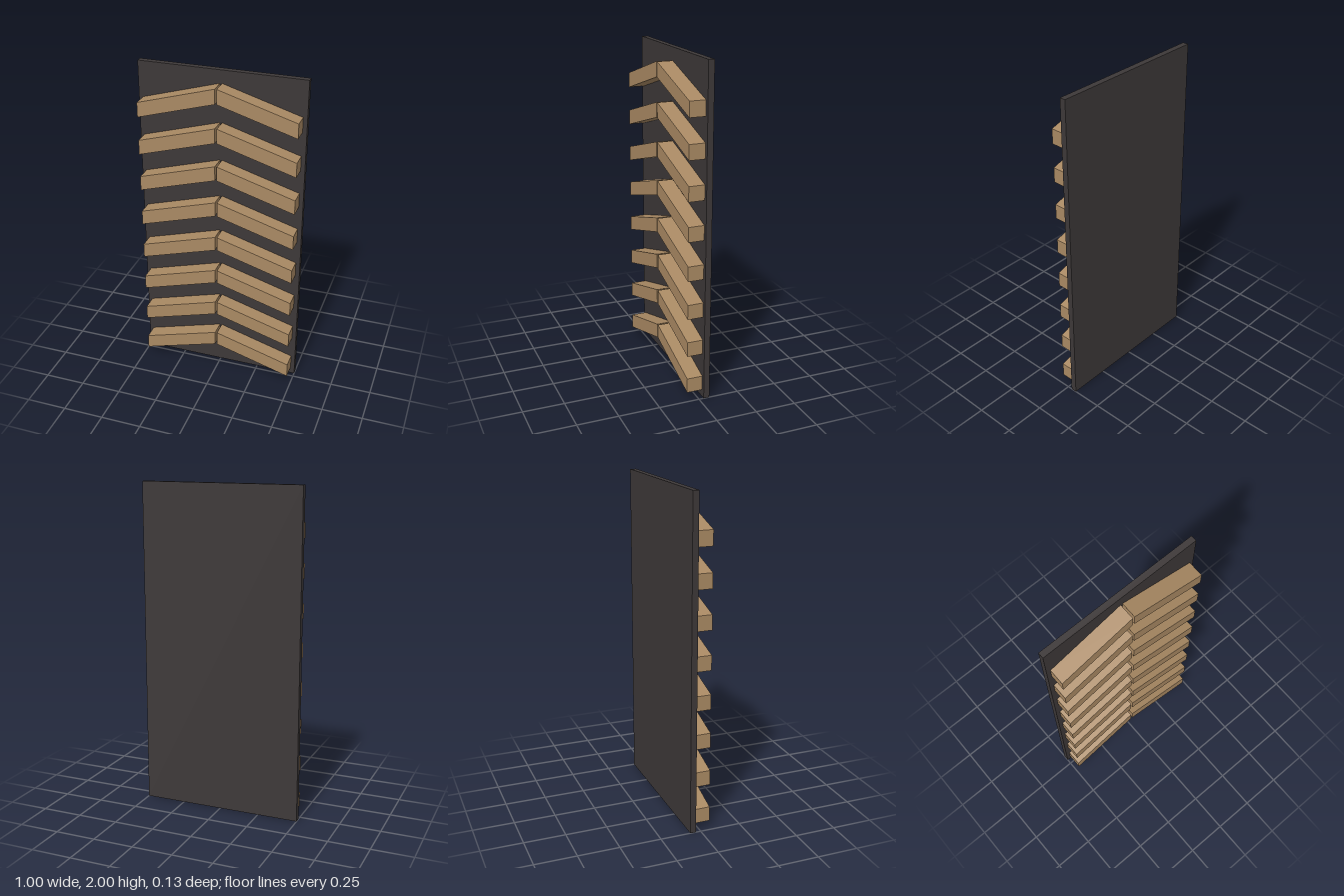
import * as THREE from 'three';

const SLAT_ROWS = 8;
const ROW_STEP = 0.2354;
const FIRST_ROW = 0.045;
const BACK_Z = -0.066, PANEL_Z = -0.03, FRONT_Z = 0.066;

// Sloped slat with vertical ends, rising toward the centre line
function slatGeometry(side) {
  const inner = 0.006 * side, outer = 0.475 * side;
  const height = 0.09, rise = 0.139;
  const shape = new THREE.Shape([
    new THREE.Vector2(outer, 0),
    new THREE.Vector2(inner, rise),
    new THREE.Vector2(inner, rise + height),
    new THREE.Vector2(outer, height),
  ]);
  return new THREE.ExtrudeGeometry(shape, { depth: FRONT_Z - PANEL_Z, bevelEnabled: false });
}

export function createModel() {
  const dark = new THREE.MeshStandardMaterial({ color: 0x3d3838 });
  dark.name = 'charcoal';
  const wood = new THREE.MeshStandardMaterial({ color: 0xa98963 });
  wood.name = 'light wood';

  const model = new THREE.Group();
  model.name = 'chevronWallPanel';

  // Backing board
  const panel = new THREE.Mesh(new THREE.BoxGeometry(1, 2, PANEL_Z - BACK_Z), dark);
  panel.name = 'backPanel';
  panel.position.set(0, 1, (PANEL_Z + BACK_Z) / 2);
  model.add(panel);

  // Mirrored slats forming rows of chevrons
  for (const side of [1, -1]) {
    const geometry = slatGeometry(side);
    for (let row = 0; row < SLAT_ROWS; row++) {
      const slat = new THREE.Mesh(geometry, wood);
      slat.name = `${side > 0 ? 'left' : 'right'}Slat${row + 1}`;
      slat.position.set(0, FIRST_ROW + row * ROW_STEP, PANEL_Z);
      model.add(slat);
    }
  }
  return model;
}
